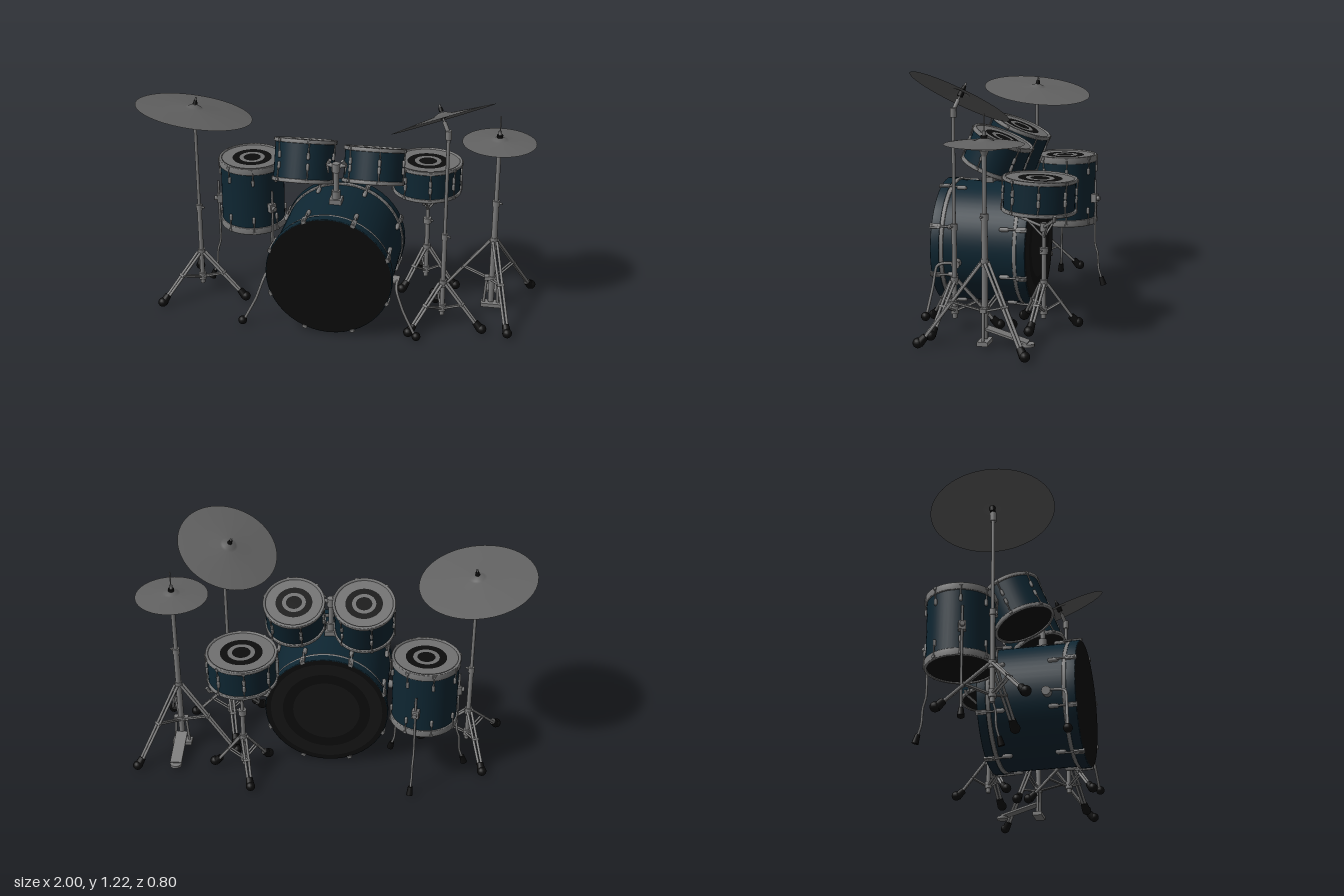
import * as THREE from 'three';

const mat = (color, side = THREE.FrontSide) => new THREE.MeshStandardMaterial({ color, side });
const STEEL = mat(0x7c7c7c), BRASS = mat(0x626262, THREE.DoubleSide);
const SHELL = mat(0x0e2632), BLACK = mat(0x0c0c0c), DARK = mat(0x151515), HEAD = mat(0x707070);
const V = (x, y, z) => new THREE.Vector3(x, y, z);
const UP = V(0, 1, 0);

function add(parent, name, geo, material, pos) {
  const m = new THREE.Mesh(geo, material);
  m.name = name;
  if (pos) m.position.copy(pos);
  parent.add(m);
  return m;
}

function group(parent, name, x = 0, y = 0, z = 0) {
  const g = new THREE.Group();
  g.name = name;
  g.position.set(x, y, z);
  parent.add(g);
  return g;
}

// straight tube between two points
function rod(parent, name, a, b, r, material = STEEL, r2 = r) {
  const d = b.clone().sub(a);
  const m = add(parent, name, new THREE.CylinderGeometry(r2, r, d.length(), 12), material, a.clone().lerp(b, 0.5));
  m.quaternion.setFromUnitVectors(UP, d.normalize());
  return m;
}

function bentRod(parent, name, points, r) {
  const curve = new THREE.CatmullRomCurve3(points, false, 'catmullrom', 0.3);
  return add(parent, name, new THREE.TubeGeometry(curve, 24, r, 8), STEEL);
}

// closed rectangular band around y
function band(parent, name, rIn, rOut, y0, y1, material) {
  const c = 0.003;
  const p = [[rIn, y0], [rOut - c, y0], [rOut, y0 + c], [rOut, y1 - c], [rOut - c, y1], [rIn, y1], [rIn, y0]];
  const geo = new THREE.LatheGeometry(p.map(([x, y]) => new THREE.Vector2(x, y)), 48);
  return add(parent, name, geo, material);
}

// disc made of concentric rings: [outer radius fraction, material]
function head(parent, name, r, y, dir, rings) {
  let inner = 0;
  for (const [f, material] of rings) {
    const m = add(parent, name, new THREE.RingGeometry(inner * r, f * r, 48), material, V(0, y, 0));
    m.rotation.x = -dir * Math.PI / 2;
    inner = f;
  }
}
const TARGET = [[0.27, BLACK], [0.4, HEAD], [0.62, BLACK], [1, HEAD]];

// tom or snare, centred, axis along y
function drum(parent, name, r, h, hoopH, lugs, phase = 0) {
  const g = group(parent, name);
  const rs = r - 0.008, hh = h / 2;
  add(g, 'shell', new THREE.CylinderGeometry(rs, rs, h - 0.02, 48, 1, true), SHELL);
  band(g, 'topHoop', rs - 0.006, r, hh - hoopH, hh, STEEL);
  band(g, 'bottomHoop', rs - 0.006, r, -hh, -hh + hoopH, STEEL);
  head(g, 'batterHead', rs, hh - 0.006, 1, TARGET);
  head(g, 'resonantHead', rs, -hh + 0.006, -1, [[1, BLACK]]);
  for (let i = 0; i < lugs; i++) {
    const l = group(g, 'lug');
    l.rotation.y = phase + i * 2 * Math.PI / lugs;
    for (const s of [-1, 1]) {
      const y = s * Math.max(0.018, hh - 0.08);
      add(l, 'lugCasing', new THREE.CapsuleGeometry(0.008, 0.02, 4, 10), STEEL, V(0, y, rs + 0.004));
      rod(l, 'tensionRod', V(0, y, rs + 0.006), V(0, s * (hh - 0.004), r + 0.002), 0.0035);
      add(l, 'hoopEar', new THREE.BoxGeometry(0.016, 0.012, 0.01), STEEL, V(0, s * (hh - 0.01), r));
    }
  }
  return g;
}

function bassDrum(parent) {
  const g = group(parent, 'bassDrum', 0.013, 0.323, 0.136);
  g.rotation.x = Math.PI / 2;
  const r = 0.313, hh = 0.238;
  add(g, 'shell', new THREE.CylinderGeometry(0.303, 0.303, 0.46, 64, 1, true), SHELL);
  head(g, 'frontHead', r - 0.004, hh + 0.001, 1, [[1, BLACK]]);
  head(g, 'batterHead', r - 0.004, -hh - 0.001, -1, [[0.55, DARK], [0.72, BLACK], [0.92, DARK], [1, BLACK]]);
  for (const s of [-1, 1]) {
    const ys = [s * hh, s * (hh - 0.045)].sort((a, b) => a - b);
    band(g, 'woodHoop', 0.29, r, ys[0], ys[1], SHELL);
    band(g, 'hoopRim', 0.29, r - 0.003, s * 0.185 - 0.011, s * 0.185 + 0.011, STEEL);
    for (let i = 0; i < 8; i++) {
      const l = group(g, 'claw');
      l.rotation.y = (i + 0.5) * Math.PI / 4;
      add(l, 'clawHook', new THREE.BoxGeometry(0.024, 0.05, 0.012), STEEL, V(0, s * 0.216, 0.315));
      add(l, 'clawLip', new THREE.BoxGeometry(0.02, 0.008, 0.014), STEEL, V(0, s * 0.24, 0.313));
      rod(l, 'tensionRod', V(0, s * 0.238, 0.319), V(0, s * 0.12, 0.313), 0.005);
      add(l, 'lugCasing', new THREE.CapsuleGeometry(0.011, 0.03, 4, 10), STEEL, V(0, s * 0.13, 0.308));
    }
  }
  // front spurs, reaching forward and then down and outward
  for (const s of [-1, 1]) {
    const spur = group(parent, 'bassSpur', 0.01, 0, 0);
    rod(spur, 'spurBracket', V(s * 0.29, 0.27, 0.24), V(s * 0.335, 0.265, 0.24), 0.022);
    bentRod(spur, 'spurLeg', [V(s * 0.325, 0.272, 0.22), V(s * 0.328, 0.268, 0.3), V(s * 0.335, 0.25, 0.335), V(s * 0.37, 0.15, 0.345), V(s * 0.43, 0.03, 0.358)], 0.007);
    rubberFoot(spur, V(s * 0.438, 0.026, 0.36), 0.022);
  }
}

function rubberFoot(parent, p, r) {
  const m = add(parent, 'rubberFoot', new THREE.SphereGeometry(r, 14, 10), BLACK, p);
  m.scale.y = Math.min(1, (p.y - 0.004) / r);
}

// three folding legs round a column; angle is measured from +x towards +z
function tripod(parent, hubY, braceY, radius, angle) {
  for (let i = 0; i < 3; i++) {
    const leg = group(parent, 'tripodLeg');
    leg.rotation.y = -(angle + i * 120) * Math.PI / 180;
    const mid = V(radius * 0.5, hubY * 0.5 + 0.02, 0);
    for (const s of [-1, 1]) {
      rod(leg, 'legBar', V(0.016, hubY, s * 0.011), V(radius - 0.02, 0.04, s * 0.008), 0.007);
      rod(leg, 'braceBar', V(0.014, braceY, s * 0.008), mid.clone().setZ(s * 0.008), 0.005);
    }
    rod(leg, 'pivot', mid.clone().setZ(-0.018), mid.clone().setZ(0.018), 0.007);
    rod(leg, 'footSleeve', V(radius - 0.035, 0.058, 0), V(radius - 0.005, 0.026, 0), 0.017, BLACK, 0.022);
    rubberFoot(leg, V(radius, 0.028, 0), 0.024);
  }
  for (const y of [hubY, braceY]) rod(parent, 'tripodCollar', V(0, y - 0.018, 0), V(0, y + 0.018, 0), 0.019);
}

// clamp with wing screw
function clamp(parent, y, r) {
  rod(parent, 'heightClamp', V(0, y - 0.018, 0), V(0, y + 0.012, 0), r);
  rod(parent, 'wingScrew', V(0, y, 0), V(0.03, y, 0.01), 0.005);
}

function cymbal(parent, name, r, pos, normal, bow) {
  const prof = [[0.004, bow + 0.01], [0.02, bow + 0.007], [0.034, bow], [0.045, bow - 0.004], [r * 0.55, bow * 0.42], [r * 0.85, bow * 0.1], [r, -0.002]];
  const geo = new THREE.LatheGeometry(prof.map(([x, y]) => new THREE.Vector2(x, y)), 56);
  const m = add(parent, name, geo, BRASS, pos);
  m.quaternion.setFromUnitVectors(UP, normal.clone().normalize());
  return m;
}

function cymbalStand(parent, name, x, z, top, radius, angle, centre, normal, r) {
  const g = group(parent, name, x, 0, z);
  tripod(g, 0.24, 0.1, radius, angle);
  rod(g, 'lowerTube', V(0, 0.06, 0), V(0, 0.5, 0), 0.012);
  rod(g, 'upperTube', V(0, 0.5, 0), V(0, top, 0), 0.0085);
  clamp(g, 0.5, 0.016);
  const n = normal.clone().normalize(), c = centre.clone().sub(g.position);
  const at = (k) => c.clone().addScaledVector(n, k);
  rod(g, 'tilter', V(0, top - 0.03, 0), V(0, top + 0.015, 0), 0.015);
  rod(g, 'tilterArm', V(0, top, 0), at(-0.015), 0.01);
  rod(g, 'cymbalRod', at(-0.03), at(0.07), 0.005);
  rod(g, 'lowerFelt', at(0), at(0.026), 0.014, BLACK);
  rod(g, 'wingNut', at(0.036), at(0.056), 0.012, BLACK, 0.008);
  cymbal(g, 'crashCymbal', r, c, n, 0.022);
}

function hiHat(parent) {
  const g = group(parent, 'hiHat', 0.783, 0, -0.03);
  tripod(g, 0.39, 0.17, 0.302, -50);
  rod(g, 'lowerTube', V(0, 0.04, 0), V(0, 0.6, 0), 0.015);
  rod(g, 'upperTube', V(0, 0.6, 0), V(0, 0.885, 0), 0.011);
  clamp(g, 0.6, 0.019);
  rod(g, 'pullRod', V(0, 0.88, 0), V(0, 1.06, 0), 0.003);
  rod(g, 'cymbalSeat', V(0, 0.87, 0), V(0, 0.895, 0), 0.012, STEEL, 0.022);
  // the lower cymbal is a shallow six-sided dish
  add(g, 'bottomCymbal', new THREE.CylinderGeometry(0.128, 0.04, 0.01, 6), BRASS, V(0, 0.906, 0));
  cymbal(g, 'topCymbal', 0.18, V(0, 0.926, 0), UP, 0.016);
  rod(g, 'clutchFelt', V(0, 0.948, 0), V(0, 0.963, 0), 0.015, BLACK);
  rod(g, 'clutch', V(0, 0.963, 0), V(0, 0.983, 0), 0.008);
  // pedal
  add(g, 'pedalFrame', new THREE.BoxGeometry(0.1, 0.02, 0.05), STEEL, V(0, 0.025, 0));
  for (const s of [-1, 1]) rod(g, 'framePost', V(s * 0.036, 0.03, 0), V(s * 0.026, 0.18, 0), 0.007);
  add(g, 'frameBridge', new THREE.BoxGeometry(0.075, 0.02, 0.03), STEEL, V(0, 0.175, 0));
  const board = add(g, 'footboard', new THREE.BoxGeometry(0.06, 0.01, 0.2), STEEL, V(0, 0.062, -0.105));
  board.rotation.x = -0.28;
  add(g, 'heelPlate', new THREE.CylinderGeometry(0.03, 0.03, 0.014, 20), STEEL, V(0, 0.025, -0.2));
}

function snare(parent) {
  const d = drum(parent, 'snareDrum', 0.176, 0.167, 0.018, 8, 0.2);
  d.position.set(0.42, 0.645, -0.197);
  d.rotation.x = -0.04;
  add(d, 'strainer', new THREE.BoxGeometry(0.02, 0.07, 0.016), STEEL, V(-0.172, 0, 0));
  const g = group(parent, 'snareStand', 0.425, 0, -0.22);
  tripod(g, 0.22, 0.09, 0.165, -108);
  rod(g, 'column', V(0, 0.05, 0), V(0, 0.36, 0), 0.012);
  rod(g, 'innerColumn', V(0, 0.36, 0), V(0, 0.5, 0), 0.009);
  clamp(g, 0.38, 0.021);
  rod(g, 'basketHub', V(0, 0.47, 0), V(0, 0.51, 0), 0.018);
  for (let i = 0; i < 3; i++) {
    const arm = group(g, 'basketArm');
    arm.rotation.y = 0.5 + i * 2 * Math.PI / 3;
    rod(arm, 'armBar', V(0, 0.49, 0), V(0.165, 0.55, 0), 0.007);
    rod(arm, 'armStrut', V(0, 0.44, 0), V(0.08, 0.52, 0), 0.005);
    rod(arm, 'armGrip', V(0.163, 0.545, 0), V(0.178, 0.575, 0), 0.008);
  }
}

function floorTom(parent) {
  const g = group(parent, 'floorTom', -0.48, 0, -0.13);
  const d = drum(g, 'floorTomDrum', 0.17, 0.37, 0.036, 8, 0.25);
  d.position.y = 0.523;
  for (const a of [-77, 43, 163]) {
    const leg = group(g, 'floorTomLeg');
    leg.rotation.y = -a * Math.PI / 180;
    add(leg, 'legBracket', new THREE.BoxGeometry(0.03, 0.045, 0.035), STEEL, V(0.173, 0.48, 0));
    rod(leg, 'legKnob', V(0.18, 0.48, 0), V(0.203, 0.48, 0), 0.012);
    bentRod(leg, 'legRod', [V(0.178, 0.58, 0), V(0.178, 0.4, 0), V(0.178, 0.24, 0), V(0.195, 0.18, 0), V(0.2, 0.1, 0), V(0.224, 0.03, 0)], 0.006);
    rod(leg, 'rubberTip', V(0.216, 0.055, 0), V(0.23, 0.012, 0), 0.012, BLACK, 0.017);
  }
}

function rackToms(parent) {
  const specs = [['rightRackTom', -0.162, 0.797, 0.157, 0.213], ['leftRackTom', 0.186, 0.798, 0.155, 0.178]];
  for (const [name, x, y, r, h] of specs) {
    const d = drum(parent, name, r, h, 0.02, 6, 0.3);
    d.position.set(x, y, 0.068);
    d.rotation.x = -0.38;
  }
  // shared post and arms on the bass drum
  const g = group(parent, 'tomMount', 0.013, 0, 0.16);
  add(g, 'mountPlate', new THREE.BoxGeometry(0.06, 0.03, 0.06), STEEL, V(0, 0.635, 0));
  rod(g, 'mountSocket', V(0, 0.64, 0), V(0, 0.69, 0), 0.022);
  rod(g, 'mountPost', V(0, 0.69, 0), V(0, 0.83, 0), 0.013);
  rod(g, 'mountClamp', V(0, 0.79, 0), V(0, 0.835, 0), 0.02);
  for (const s of [-1, 1]) {
    rod(g, 'tomArm', V(0, 0.815, 0), V(s * 0.045, 0.825, -0.01), 0.011);
    rod(g, 'tomArmEnd', V(s * 0.03, 0.85, 0), V(s * 0.06, 0.79, -0.03), 0.009);
    add(g, 'tomBracket', new THREE.BoxGeometry(0.025, 0.05, 0.04), STEEL, V(s * 0.052, 0.8, -0.03));
  }
}

export function createModel() {
  const model = new THREE.Group();
  model.name = 'drumKit';
  bassDrum(model);
  rackToms(model);
  floorTom(model);
  snare(model);
  hiHat(model);
  cymbalStand(model, 'rightCymbalStand', -0.711, 0.08, 1.0, 0.247, 11, V(-0.713, 1.022, 0.078), V(0.15, 1, -0.13), 0.29);
  cymbalStand(model, 'leftCymbalStand', 0.554, 0.18, 1.04, 0.212, 15, V(0.524, 1.104, 0.157), V(-0.4, 1, -0.4), 0.254);
  return model;
}
